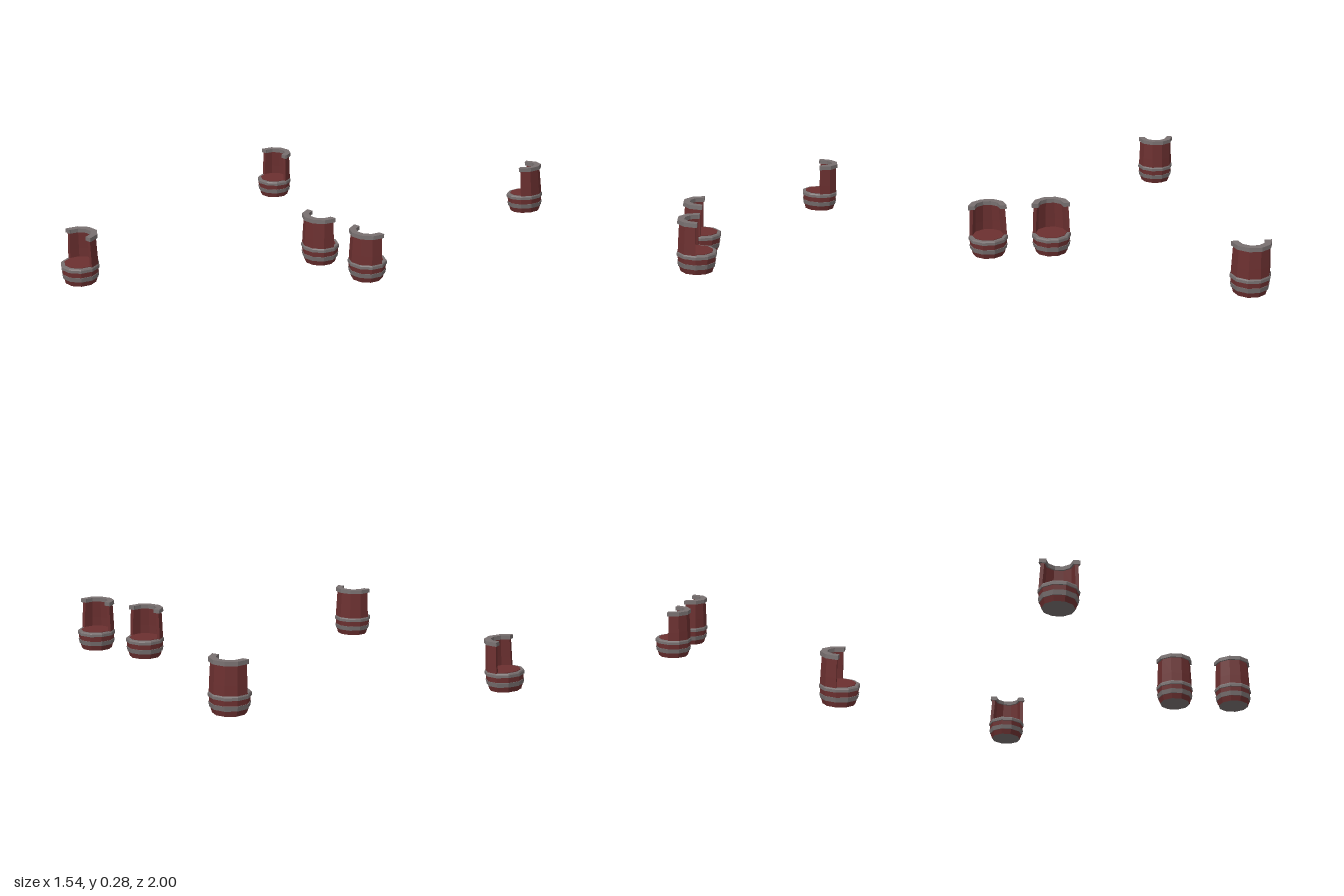
import * as THREE from 'three';
import { mergeGeometries } from 'three/addons/utils/BufferGeometryUtils.js';

const SIDES = 10;
const toPoints = (list) => list.map(([r, y]) => new THREE.Vector2(r, y));

// Full ten-sided revolve with corners on the x axis
function ring(profile) {
  return new THREE.LatheGeometry(toPoints(profile), SIDES, Math.PI / 2, Math.PI * 2);
}

// Half revolve around the back (-z) of a closed section, with both ends capped at z = 0
function halfRing(section) {
  const lathe = new THREE.LatheGeometry(toPoints([...section, section[0]]), SIDES / 2, Math.PI / 2, Math.PI);
  const endLeft = new THREE.ShapeGeometry(new THREE.Shape(toPoints(section)));
  const endRight = new THREE.ShapeGeometry(new THREE.Shape(toPoints(section.map(([r, y]) => [-r, y]))));
  return mergeGeometries([lathe, endLeft, endRight]);
}

export function createModel() {
  const wood = new THREE.MeshStandardMaterial({ color: 0x6c3030, flatShading: true });
  wood.name = 'red wood';
  const iron = new THREE.MeshStandardMaterial({ color: 0x787070, flatShading: true });
  iron.name = 'grey iron';

  // Rim: half ring plus short tips overhanging the two ends of the backrest
  const tips = [-1, 1].map((s) => new THREE.BoxGeometry(0.037, 0.022, 0.007).translate(s * 0.0865, 0.269, 0.0035));
  const rim = mergeGeometries([
    halfRing([[0.068, 0.258], [0.106, 0.258], [0.105, 0.28], [0.068, 0.28]]),
    ...tips,
  ]);

  const parts = [
    // Lower barrel with the seat on top
    ['barrelBase', ring([[0.087, 0], [0.096, 0.03], [0.101, 0.056], [0.103, 0.085], [0.1, 0.1], [0.087, 0.104], [0.087, 0.11], [0, 0.11]]), wood],
    ['bottomLid', ring([[0, 0], [0.087, 0]]), iron],
    // Hoops
    ['lowerHoop', ring([[0.094, 0.03], [0.1, 0.03], [0.105, 0.056], [0.098, 0.056]]), iron],
    ['upperHoop', ring([[0.1, 0.083], [0.108, 0.085], [0.108, 0.1], [0.104, 0.107], [0.087, 0.107]]), iron],
    // Curved backrest and its rim
    ['backrest', halfRing([[0.085, 0.1], [0.103, 0.1], [0.101, 0.16], [0.096, 0.262], [0.077, 0.262], [0.083, 0.16]]), wood],
    ['backrestRim', rim, iron],
  ];

  // x, z and turn of each chair
  const places = [
    ['backRightChair', -0.662, -0.897, 0],
    ['frontRightChair', -0.425, 0.897, 0],
    ['innerLeftChair', 0.315, -0.245, Math.PI],
    ['outerLeftChair', 0.662, -0.245, Math.PI],
  ];

  const model = new THREE.Group();
  model.name = 'barrelChairs';
  for (const [name, x, z, turn] of places) {
    const chair = new THREE.Group();
    chair.name = name;
    chair.position.set(x, 0, z);
    chair.rotation.y = turn;
    for (const [partName, geometry, material] of parts) {
      const mesh = new THREE.Mesh(geometry, material);
      mesh.name = partName;
      chair.add(mesh);
    }
    model.add(chair);
  }
  return model;
}
